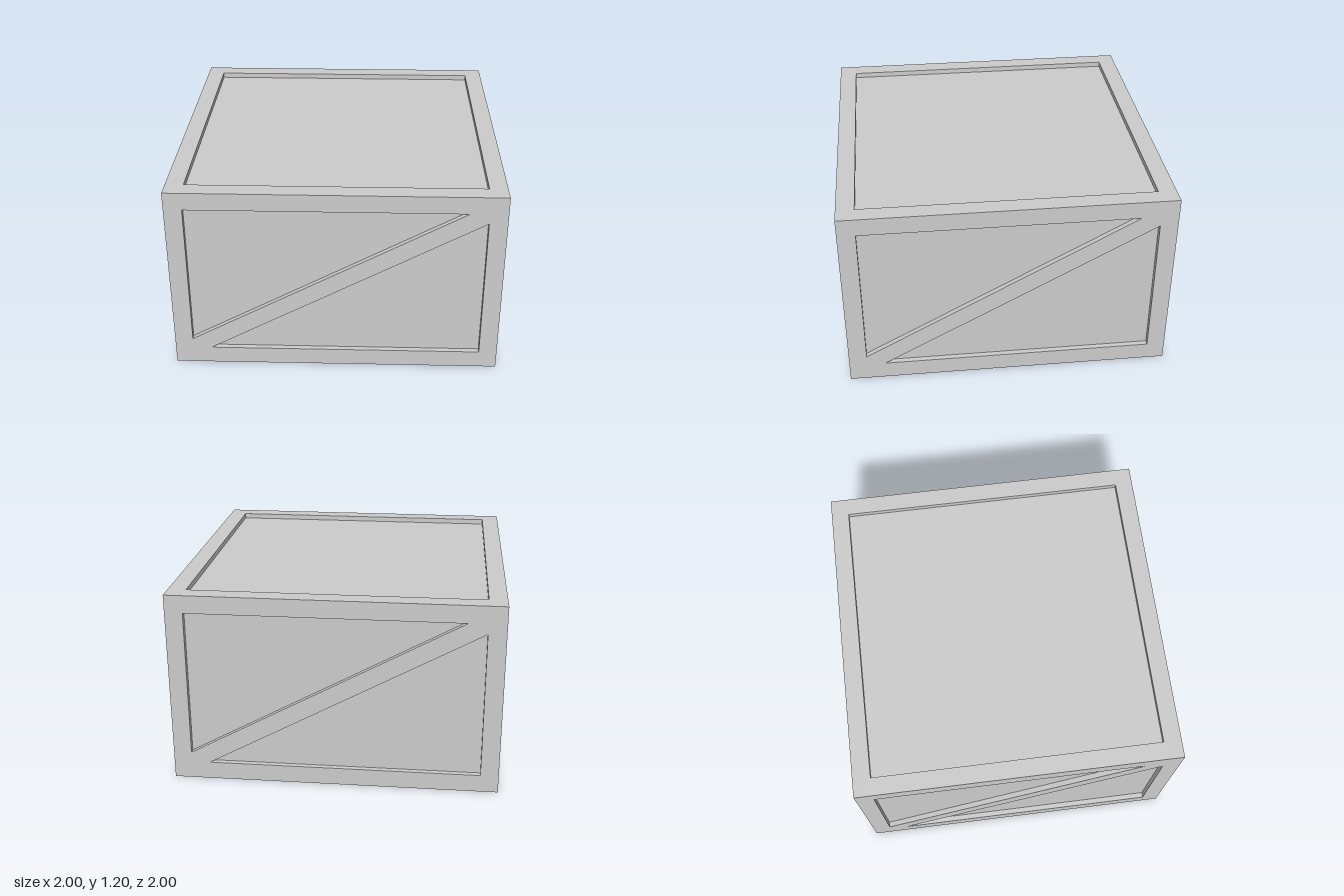
import * as THREE from 'three';

const H = 1.2;     // crate height
const D = 0.033;   // depth of the recesses
const IN = 1 - D;  // half width of the core
const R = 0.89;    // half width of the recessed area

const shapeOf = (points) => new THREE.Shape(points.map(([x, y]) => new THREE.Vector2(x, y)));
const rect = (hw, y0, y1) => [[-hw, y0], [hw, y0], [hw, y1], [-hw, y1]];

// Flat plate with cut-outs, extruded towards +z by the recess depth
function plate(outline, holes) {
  const shape = shapeOf(outline);
  for (const h of holes) shape.holes.push(shapeOf(h));
  return new THREE.ExtrudeGeometry(shape, { depth: D, bevelEnabled: false });
}

export function createModel() {
  const group = new THREE.Group();
  group.name = 'crate';
  const grey = new THREE.MeshStandardMaterial({ color: 0xcccccc });
  grey.name = 'light grey';

  const add = (name, geometry) => {
    const mesh = new THREE.Mesh(geometry, grey);
    mesh.name = name;
    group.add(mesh);
    return mesh;
  };

  // Core: the recessed panels and the flat underside
  add('core', new THREE.BoxGeometry(2 * IN, H - D, 2 * IN).translate(0, (H - D) / 2, 0));

  // Side frames, each with a diagonal brace between two triangular openings
  const openings = [
    [[-R, 0.173], [0.775, 1.09], [-R, 1.09]],
    [[-0.775, 0.11], [R, 0.11], [R, 1.027]],
  ];
  ['frontFrame', 'leftFrame', 'backFrame', 'rightFrame'].forEach((name, i) => {
    const halfWidth = i % 2 ? IN : 1; // the second pair fits between the first
    const geometry = plate(rect(halfWidth, 0, H), openings).translate(0, 0, IN);
    add(name, geometry).rotation.y = i * Math.PI / 2;
  });

  // Lid frame with one square opening
  const lid = plate(rect(IN, -IN, IN), [rect(R, -R, R)]);
  lid.rotateX(-Math.PI / 2).translate(0, H - D, 0);
  add('lidFrame', lid);

  return group;
}
